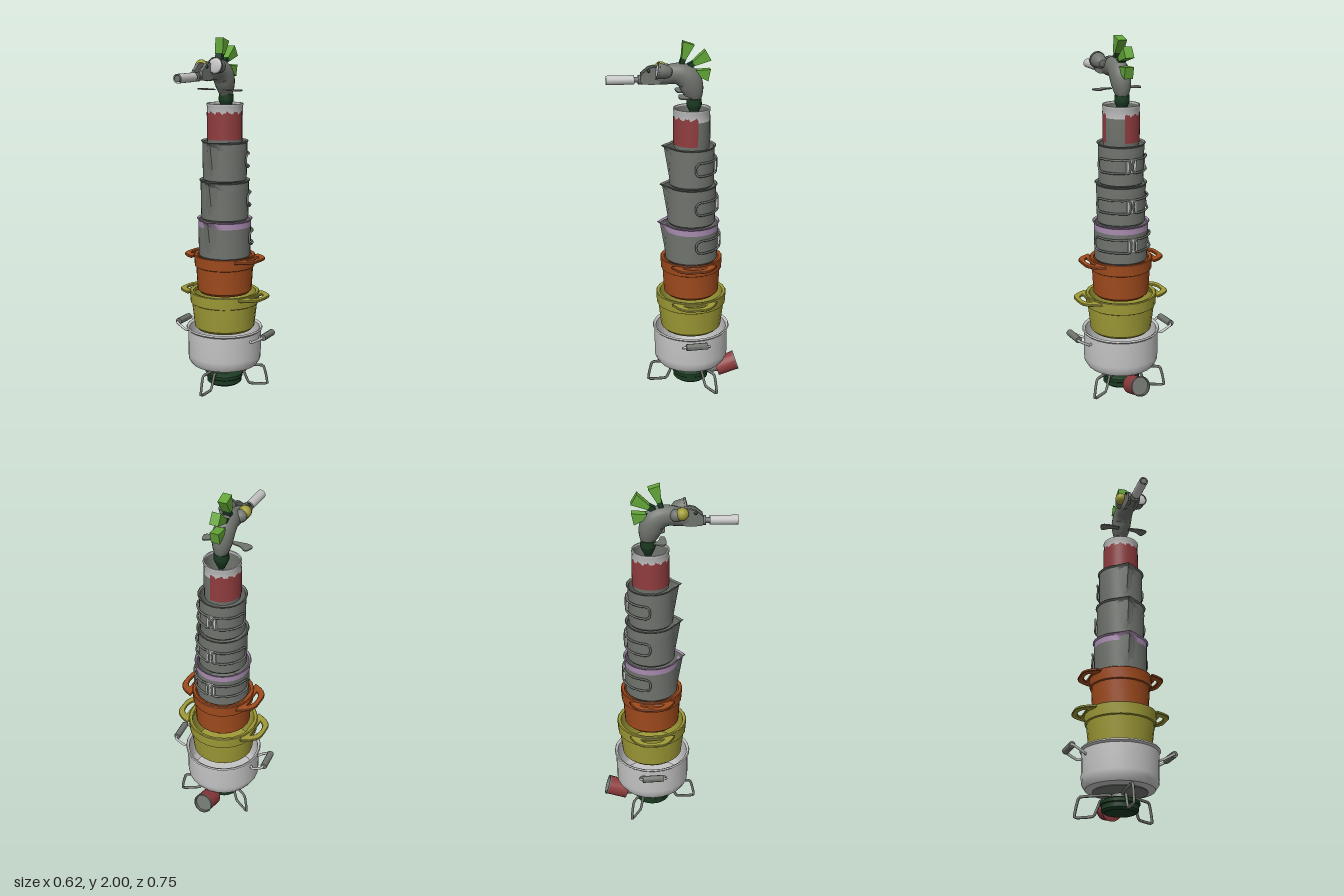
import * as THREE from 'three';
import { toCreasedNormals } from 'three/addons/utils/BufferGeometryUtils.js';
import { ParametricGeometry } from 'three/addons/geometries/ParametricGeometry.js';

const V = (x, y, z) => new THREE.Vector3(x, y, z);
const rad = THREE.MathUtils.degToRad;

export function createModel() {
  const mat = (name, color) => {
    const m = new THREE.MeshStandardMaterial({ color, side: THREE.DoubleSide });
    m.name = name;
    return m;
  };
  const light = mat('pale enamel', 0xc4c4c4), grey = mat('grey metal', 0x70746e);
  const red = mat('red label', 0x8f3c3e), purple = mat('purple rim', 0xa88bb0);
  const orange = mat('orange enamel', 0xa04b1d), yellow = mat('yellow enamel', 0x9f9b37);
  const green = mat('leaf green', 0x62a538), dark = mat('dark green', 0x1b3a22);

  const root = new THREE.Group();
  const stack = new THREE.Group();
  stack.name = 'cookwareStack';
  stack.position.z = -0.085;
  root.add(stack);

  const add = (parent, name, geo, material, x = 0, y = 0, z = 0) => {
    const m = new THREE.Mesh(geo, material);
    m.name = name;
    m.position.set(x, y, z);
    parent.add(m);
    return m;
  };
  const lathe = (pts, seg = 24) => toCreasedNormals(
    new THREE.LatheGeometry(pts.map(p => new THREE.Vector2(p[0], p[1])), seg), 0.6);
  const cyl = (r1, r2, h, seg = 20, open = false) => new THREE.CylinderGeometry(r1, r2, h, seg, 1, open);
  // straight-sided wire with tight bends
  const wire = (pts, r, closed = false) => new THREE.TubeGeometry(
    new THREE.CatmullRomCurve3(pts, closed, 'catmullrom', 0.15), 48, r, 6, closed);

  // Camp stove: burner, neck and three wire legs
  add(stack, 'burner', lathe([[0, 0.018], [0.085, 0.018], [0.1, 0.03], [0.1, 0.055], [0.106, 0.06],
    [0.106, 0.078], [0.09, 0.088], [0, 0.088]]), dark);
  add(stack, 'burnerHead', cyl(0.045, 0.055, 0.035), grey, 0, 0.1, 0);
  for (let i = 0; i < 3; i++) {
    const leg = add(stack, 'stoveLeg', wire([V(0, 0.1, 0.03), V(0, 0.12, 0.06), V(0, 0.12, 0.225),
      V(0, 0.012, 0.25), V(0, 0.012, 0.145), V(0, 0.1, 0.105), V(0, 0.07, 0.08)], 0.008), grey);
    leg.rotation.y = i * Math.PI * 2 / 3;
  }

  // Tilted fuel canister behind the stove
  const fuel = new THREE.Group();
  fuel.name = 'fuelCanister';
  fuel.position.set(0, 0.087, -0.21);
  fuel.rotation.x = -rad(72);
  stack.add(fuel);
  add(fuel, 'canisterBody', lathe([[0, -0.06], [0.055, -0.06], [0.055, 0.06]], 20), red);
  add(fuel, 'canisterLining', lathe([[0, 0.045], [0.05, 0.045], [0.051, 0.062], [0.057, 0.062], [0.057, 0.055]], 20), grey);
  add(fuel, 'canisterValve', cyl(0.03, 0.02, 0.07, 12), grey, 0, -0.085, 0);

  // Pale bottom pot with two wire handles and grips
  add(stack, 'palePot', lathe([[0, 0.132], [0.16, 0.132], [0.19, 0.142], [0.208, 0.17], [0.211, 0.2], [0.211, 0.345],
    [0.221, 0.355], [0.217, 0.364], [0.203, 0.355], [0.2, 0.18], [0.18, 0.15], [0, 0.15]]), light);
  add(stack, 'potUnderside', cyl(0.15, 0.15, 0.004), grey, 0, 0.13, 0);
  for (const side of [0, 1]) {
    const h = new THREE.Group();
    h.name = 'palePotHandle';
    h.rotation.y = side * Math.PI;
    stack.add(h);
    add(h, 'handleWire', wire([V(0.2, 0.31, -0.045), V(0.225, 0.315, -0.07), V(0.285, 0.35, -0.07),
      V(0.285, 0.35, 0.07), V(0.225, 0.315, 0.07), V(0.2, 0.31, 0.045)], 0.0075), light);
    const grip = add(h, 'handleGrip', toCreasedNormals(cyl(0.019, 0.019, 0.12, 10), 0.7), grey, 0.286, 0.352, 0);
    grip.rotation.set(Math.PI / 2, 0, -0.07);
  }

  // Two casseroles with flat looped handles
  function casserole(name, y, h, r, base, reach, material) {
    add(stack, name, lathe([[0, y], [base - 0.015, y], [base, y + 0.015], [r - 0.012, y + h * 0.68], [r - 0.004, y + h * 0.7],
      [r, y + h - 0.004], [r - 0.004, y + h], [r - 0.02, y + h - 0.004], [base - 0.016, y + 0.03], [0, y + 0.03]]), material);
    const xi = r - 0.03, w = 0.125;
    const s = new THREE.Shape();
    s.moveTo(xi, -w);
    s.bezierCurveTo(r + 0.015, -w + 0.02, reach, -0.085, reach, -0.03);
    s.lineTo(reach, 0.03);
    s.bezierCurveTo(reach, 0.085, r + 0.015, w - 0.02, xi, w);
    const hole = new THREE.Path();
    hole.moveTo(r + 0.004, -0.07);
    hole.bezierCurveTo(reach - 0.03, -0.055, reach - 0.022, -0.03, reach - 0.022, 0);
    hole.bezierCurveTo(reach - 0.022, 0.03, reach - 0.03, 0.055, r + 0.004, 0.07);
    s.holes.push(hole);
    const geo = new THREE.ExtrudeGeometry(s, { depth: 0.008, bevelEnabled: true, bevelSize: 0.003, bevelThickness: 0.003, bevelSegments: 1, curveSegments: 8 });
    geo.rotateX(Math.PI / 2);
    for (const side of [0, 1])
      add(stack, name + 'Handle', geo, material, 0, y + h - 0.011, 0).rotation.y = side * Math.PI;
  }
  casserole('yellowCasserole', 0.352, 0.224, 0.2, 0.172, 0.264, yellow);
  casserole('orangeCasserole', 0.568, 0.222, 0.175, 0.155, 0.232, orange);

  // Camping cups: pouring lip, back bracket and folded wire handles
  function cup(y, top, r, rimMat) {
    const pour = geo => {
      const p = geo.attributes.position;
      for (let i = 0; i < p.count; i++) {
        const a = Math.atan2(p.getX(i), p.getZ(i));
        const k = Math.max(0, 1 - Math.abs(a) / 0.4) * THREE.MathUtils.smoothstep(p.getY(i), top - 0.05, top);
        p.setZ(i, p.getZ(i) + 0.035 * k);
      }
      geo.computeVertexNormals();
      return toCreasedNormals(geo, 0.6);
    };
    const ring = pts => new THREE.LatheGeometry(pts.map(p => new THREE.Vector2(...p)), 30);
    const split = top - 0.045;
    add(stack, 'cupBody', pour(ring([[0, y], [r - 0.012, y], [r - 0.003, y + 0.012], [r, split]])), grey);
    add(stack, 'cupRim', pour(ring([[r, split], [r, top - 0.012], [r + 0.008, top - 0.003], [r + 0.004, top],
      [r - 0.005, top - 0.008]])), rimMat);
    add(stack, 'cupInside', pour(ring([[r - 0.005, top - 0.008], [r - 0.006, y + 0.02], [0, y + 0.02]])), grey);
    const mid = (y + top) / 2 + 0.005, R = r + 0.009;
    for (const s of [1, -1]) {
      const at = (deg, dy) => V(s * R * Math.sin(rad(deg)), mid + dy, R * Math.cos(rad(deg)));
      const pts = [[94, -0.02], [94, 0.02], [100, 0.034], [120, 0.036], [140, 0.036], [160, 0.036], [174, 0.034],
        [174, -0.034], [160, -0.036], [140, -0.036], [120, -0.036], [100, -0.034]].map(p => at(...p));
      add(stack, 'cupHandle', new THREE.TubeGeometry(new THREE.CatmullRomCurve3(pts, true), 60, 0.006, 6, true), grey);
    }
    add(stack, 'cupBracket', new THREE.BoxGeometry(0.055, 0.075, 0.012), light, 0, mid, -r - 0.003);
  }
  cup(0.775, 1.0, 0.15, purple);
  cup(0.99, 1.22, 0.136, grey);
  cup(1.21, 1.44, 0.126, grey);

  // Open tin with a torn label that leaves a bare strip
  add(stack, 'tinBody', lathe([[0, 1.425], [0.097, 1.425], [0.099, 1.435], [0.099, 1.59]]), grey);
  add(stack, 'tinTop', lathe([[0.0993, 1.58], [0.0993, 1.628], [0.102, 1.634], [0.102, 1.645], [0.095, 1.645],
    [0.094, 1.63]]), light);
  add(stack, 'tinInside', lathe([[0.094, 1.635], [0.094, 1.45], [0, 1.45]]), grey);
  const label = new THREE.CylinderGeometry(0.1008, 0.1008, 0.15, 60, 1, true, rad(167), rad(296));
  const lp = label.attributes.position;
  for (let i = 0; i <= 60; i++) lp.setY(i, 0.075 + 0.007 * Math.sin(i * 1.1) + 0.005 * Math.sin(i * 2.7));
  add(stack, 'tinLabel', label, red, 0, 1.523, 0);

  // Creature: curved body whose curve points hold radius, height and depth
  const creature = new THREE.Group();
  creature.name = 'creature';
  root.add(creature);
  const spine = new THREE.CatmullRomCurve3([V(0.036, 1.685, -0.097), V(0.05, 1.715, -0.094), V(0.062, 1.755, -0.085),
    V(0.066, 1.8, -0.066), V(0.062, 1.826, -0.03), V(0.056, 1.832, 0.01), V(0.051, 1.826, 0.05),
    V(0.046, 1.82, 0.095), V(0.034, 1.816, 0.135), V(0.012, 1.812, 0.165)]);
  add(creature, 'body', new ParametricGeometry((u, v, out) => {
    const c = spine.getPoint(u), t = spine.getTangent(u), n = Math.hypot(t.y, t.z), a = v * Math.PI * 2;
    out.set(c.x * 0.85 * Math.cos(a), c.y - c.x * Math.sin(a) * t.z / n, c.z + c.x * Math.sin(a) * t.y / n);
  }, 36, 20), grey);
  add(creature, 'neckPlug', lathe([[0, 1.59], [0.015, 1.6], [0.036, 1.645], [0.042, 1.66], [0.04, 1.695], [0, 1.7]], 14), dark, 0, 0, -0.097);

  // Jaw plates, nozzle and pipe
  const jaw = new THREE.Shape([[0.085, 1.785], [0.13, 1.78], [0.185, 1.785], [0.195, 1.805], [0.19, 1.835],
    [0.15, 1.868], [0.12, 1.875], [0.085, 1.86]].map(p => new THREE.Vector2(-p[0], p[1])));
  const jawGeo = new THREE.ExtrudeGeometry(jaw, { depth: 0.018, bevelEnabled: false });
  jawGeo.rotateY(Math.PI / 2);
  for (const x of [0.016, -0.034]) add(creature, 'jawPlate', jawGeo, grey, x, 0, 0);
  const along = (name, r, z0, z1, material, seg = 16, open = false) => {
    add(creature, name, cyl(r, r, z1 - z0, seg, open), material, 0, 1.803, (z0 + z1) / 2).rotation.x = Math.PI / 2;
  };
  along('jawCore', 0.02, 0.13, 0.19, grey);
  along('nozzleCollar', 0.025, 0.185, 0.205, grey);
  along('nozzleThread', 0.015, 0.2, 0.23, grey);
  along('pipe', 0.025, 0.225, 0.375, light, 16, true);
  along('pipeLining', 0.018, 0.225, 0.374, grey, 16);
  for (const s of [1, -1]) add(creature, 'jawBolt', new THREE.SphereGeometry(0.009, 10, 8), dark, s * 0.034, 1.855, 0.15);

  // Mismatched eyes: a lamp-like dome and a yellow ball
  const lamp = new THREE.Group();
  lamp.name = 'lampEye';
  lamp.position.set(0.056, 1.86, 0.103);
  lamp.rotation.x = Math.PI / 2 - 0.15;
  creature.add(lamp);
  add(lamp, 'lampShell', lathe([[0, -0.078], [0.02, -0.073], [0.034, -0.055], [0.04, -0.025], [0.042, -0.006], [0.046, -0.005],
    [0.046, 0.005], [0.041, 0.006]], 20), grey);
  add(lamp, 'lampLens', new THREE.SphereGeometry(0.041, 20, 8, 0, Math.PI * 2, 0, Math.PI / 2).scale(1, 0.25, 1), light);
  add(creature, 'ballEye', new THREE.SphereGeometry(0.034, 18, 14), yellow, -0.047, 1.855, 0.08);
  add(creature, 'ballEyeSocket', new THREE.SphereGeometry(0.034, 14, 10), grey, -0.038, 1.845, 0.05);

  // Thin side fins
  for (const s of [1, -1]) {
    const outline = new THREE.Shape();
    outline.moveTo(s * 0.03, -0.035);
    outline.splineThru([[0.08, -0.045], [0.118, -0.07], [0.136, -0.045], [0.137, -0.015], [0.1, -0.003], [0.03, -0.01]]
      .map(p => new THREE.Vector2(s * p[0], p[1])));
    const fin = new THREE.ExtrudeGeometry(outline, { depth: 0.006, bevelEnabled: false });
    fin.rotateX(Math.PI / 2);
    add(creature, 'fin', fin, grey, 0, 1.725, 0);
  }

  // Crest of flared leaf blocks on dark stems: [z, y, backward lean, length]
  for (const [z, y, lean, len] of [[-0.038, 1.912, 18, 0.086], [-0.092, 1.884, 60, 0.09], [-0.103, 1.837, 102, 0.075]]) {
    const crest = new THREE.Group();
    crest.name = 'crestLeaf';
    crest.position.set(-0.004, y, z);
    crest.rotation.x = -rad(lean);
    creature.add(crest);
    const leaf = new THREE.BoxGeometry(0.05, len, 0.024);
    const p = leaf.attributes.position;
    for (let i = 0; i < p.count; i++) if (p.getY(i) > 0) p.setZ(i, p.getZ(i) * 2.7);
    leaf.computeVertexNormals();
    add(crest, 'leaf', leaf, green, 0, len / 2, 0);
    add(crest, 'leafStem', new THREE.BoxGeometry(0.04, 0.045, 0.026), dark, 0, -0.015, 0);
  }
  return root;
}
